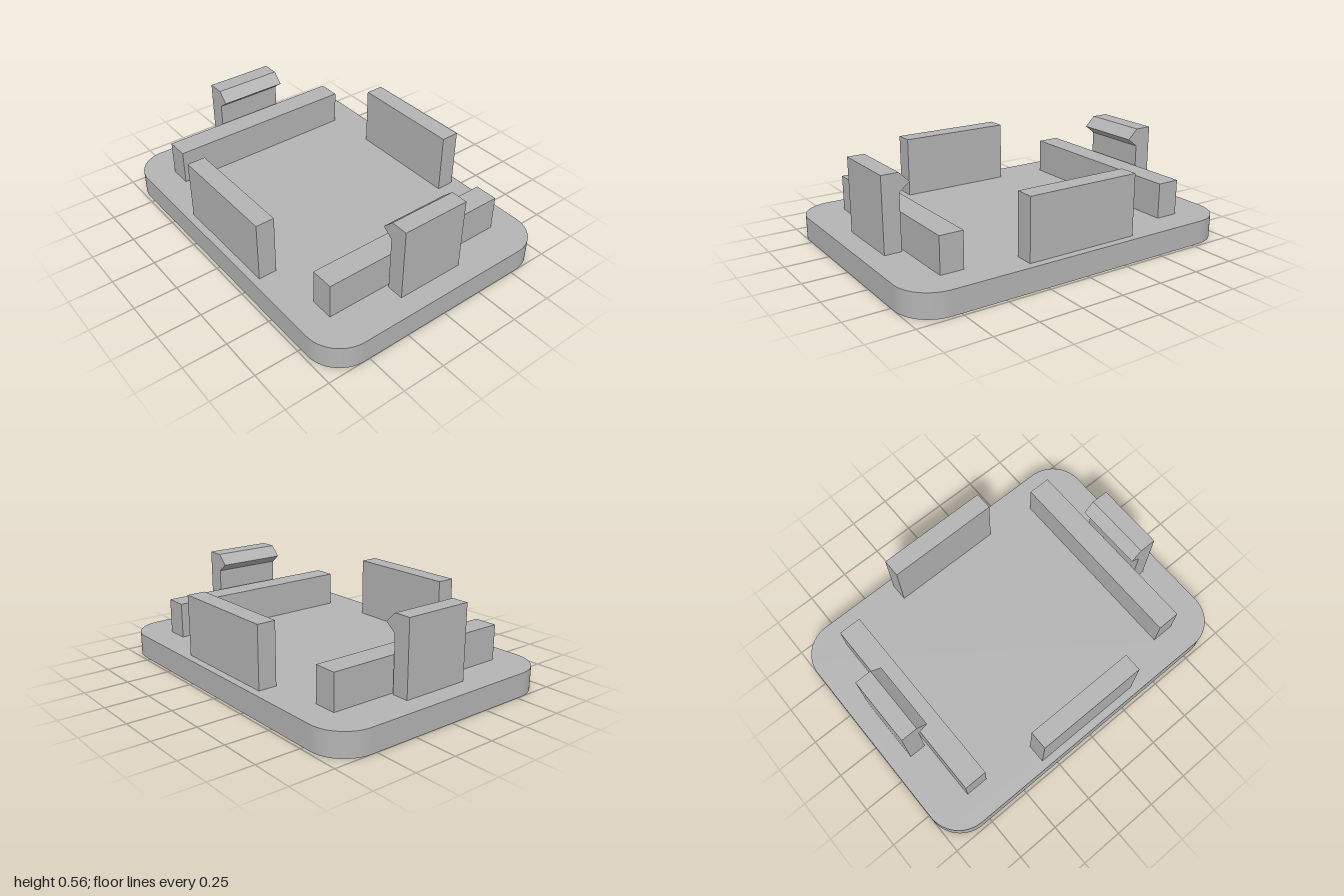
import * as THREE from 'three';

const BASE_TOP = 0.135;

// Rectangle with rounded corners, centred on the origin
function roundedRect(hw, hd, r) {
  const s = new THREE.Shape();
  s.moveTo(-hw + r, -hd);
  s.lineTo(hw - r, -hd);
  s.absarc(hw - r, -hd + r, r, -Math.PI / 2, 0);
  s.lineTo(hw, hd - r);
  s.absarc(hw - r, hd - r, r, 0, Math.PI / 2);
  s.lineTo(-hw + r, hd);
  s.absarc(-hw + r, hd - r, r, Math.PI / 2, Math.PI);
  s.lineTo(-hw, -hd + r);
  s.absarc(-hw + r, -hd + r, r, Math.PI, Math.PI * 1.5);
  return s;
}

export function createModel() {
  const model = new THREE.Group();
  model.name = 'snapFitCover';
  const grey = new THREE.MeshStandardMaterial({ color: 0xb4b4b4 });
  grey.name = 'grey plastic';

  const add = (name, geometry, x = 0, y = 0, z = 0) => {
    const mesh = new THREE.Mesh(geometry, grey);
    mesh.name = name;
    mesh.position.set(x, y, z);
    model.add(mesh);
  };

  // Base plate
  const plate = new THREE.ExtrudeGeometry(roundedRect(1, 0.732, 0.2), {
    depth: BASE_TOP, bevelEnabled: false, curveSegments: 24,
  });
  plate.rotateX(-Math.PI / 2);
  add('basePlate', plate);

  // Upright walls along the front and back edges
  const wallH = 0.483 - BASE_TOP;
  for (const [name, side] of [['frontWall', 1], ['backWall', -1]]) {
    add(name, new THREE.BoxGeometry(0.667, wallH, 0.106), 0, BASE_TOP + wallH / 2, side * 0.635);
  }

  // Long low ribs and hooked clips, mirrored left and right
  const ribH = 0.337 - BASE_TOP;
  for (const [label, side] of [['left', 1], ['right', -1]]) {
    add(label + 'Rib', new THREE.BoxGeometry(0.133, ribH, 1.13), side * 0.702, BASE_TOP + ribH / 2, 0);

    const profile = [
      [0.882, BASE_TOP], [0.882, 0.556], [0.784, 0.556],
      [0.725, 0.498], [0.784, 0.452], [0.784, BASE_TOP],
    ].map(([x, y]) => new THREE.Vector2(side * x, y));
    const clip = new THREE.ExtrudeGeometry(new THREE.Shape(profile), {
      depth: 0.4, bevelEnabled: false,
    });
    clip.translate(0, 0, -0.2);
    add(label + 'Clip', clip);
  }
  return model;
}
